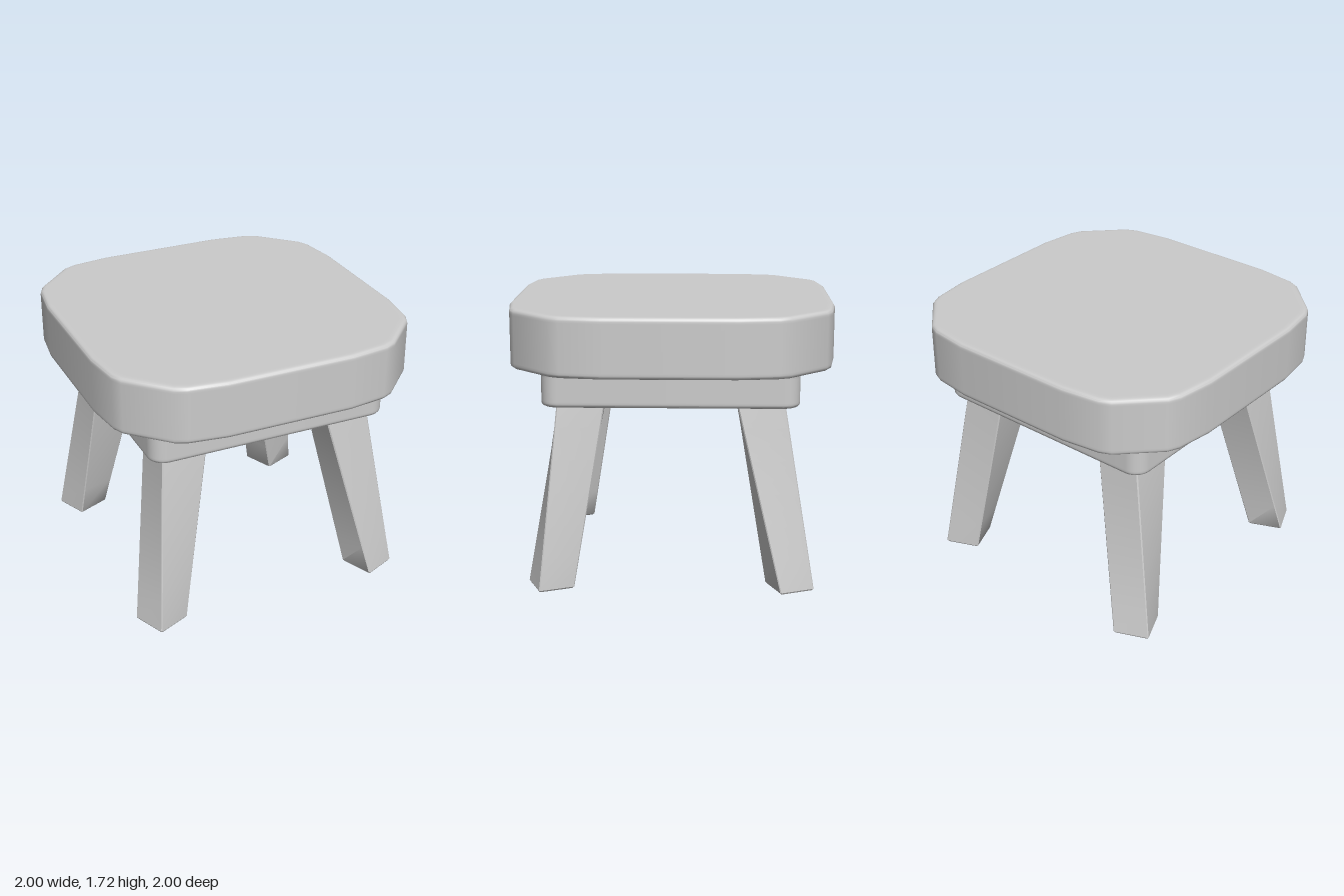
import * as THREE from 'three';
import { toCreasedNormals } from 'three/addons/utils/BufferGeometryUtils.js';

const material = new THREE.MeshStandardMaterial({ color: 0xcccccc });

// Closed solid through rings of [x, y, z] points, listed from bottom to top
function loft(rings, crease = 0.6) {
  const n = rings[0].length;
  const index = [];
  for (let r = 0; r < rings.length - 1; r++) {
    for (let i = 0; i < n; i++) {
      const j = (i + 1) % n;
      const a = r * n + i, b = r * n + j, c = a + n, d = b + n;
      index.push(a, c, b, b, c, d);
    }
  }
  const top = (rings.length - 1) * n;
  const low = rings.length * n, high = low + 1;
  for (let i = 0; i < n; i++) {
    const j = (i + 1) % n;
    index.push(low, i, j, high, top + j, top + i);
  }
  const centre = (ring) => [0, 1, 2].map((k) => ring.reduce((s, p) => s + p[k], 0) / n);
  const points = [...rings.flat(), centre(rings[0]), centre(rings[rings.length - 1])];
  const geometry = new THREE.BufferGeometry();
  geometry.setAttribute('position', new THREE.Float32BufferAttribute(points.flat(), 3));
  geometry.setIndex(index);
  return toCreasedNormals(geometry, crease);
}

// Repeat a quarter outline of [x, z] points around the centre
function fourfold(quarter) {
  const out = [];
  for (let k = 0; k < 4; k++) {
    for (const [x, z] of quarter) out.push([[x, z], [-z, x], [-x, -z], [z, -x]][k]);
  }
  return out;
}

// Stack one outline along a profile of [half width, y]
function slab(outline, size, profile) {
  return loft(profile.map(([w, y]) => outline.map(([x, z]) => [x * w / size, y, z * w / size])));
}

// Quarter-round edge from angle a to b (degrees) around [w, y]
function arc(w, y, r, a, b, steps = 4) {
  return Array.from({ length: steps + 1 }, (_, i) => {
    const t = THREE.MathUtils.degToRad(a + (b - a) * i / steps);
    return [w + r * Math.cos(t), y + r * Math.sin(t)];
  });
}

function named(geometry, name) {
  const mesh = new THREE.Mesh(geometry, material);
  mesh.name = name;
  return mesh;
}

export function createModel() {
  const group = new THREE.Group();
  group.name = 'stool';

  // Thick seat with gently bowed sides and cut corners
  const seatOutline = fourfold([[1, 0.4], [0.967, 0.64], [0.935, 0.71], [0.71, 0.935], [0.64, 0.967], [0.4, 1]]);
  group.add(named(slab(seatOutline, 1, [
    [0.96, 1.353], ...arc(0.976, 1.377, 0.024, -90, 0), [1, 1.39],
    [1, 1.68], ...arc(0.976, 1.692, 0.024, 0, 90), [0.96, 1.716],
  ]), 'seat'));

  // Apron under the seat: rounded square with a small flare where it meets the seat
  const apronOutline = fourfold([[0.78, 0], ...arc(0.68, 0.68, 0.1, 0, 90, 8)]);
  group.add(named(slab(apronOutline, 0.78, [
    [0.74, 1.133], ...arc(0.755, 1.158, 0.025, -90, 0), [0.78, 1.17],
    [0.78, 1.315], ...arc(0.805, 1.33, 0.025, 180, 90), [0.805, 1.36],
  ]), 'apron'));

  // Splayed, tapering leg that twists towards the foot
  const legRing = (y, inset = 0) => {
    const t = y / 1.133;
    const mid = THREE.MathUtils.lerp(0.738, 0.548, t);
    const h = 0.148 - inset;
    const side = THREE.MathUtils.lerp(0.06, 0.142, t) * h / 0.148;
    const corners = fourfold([[h, side]]);
    return corners.flatMap((c, i) => [corners[(i + 3) % 4], corners[(i + 1) % 4]].map((o) => [
      mid + c[0] + (o[0] - c[0]) * 0.025, y, mid + c[1] + (o[1] - c[1]) * 0.025,
    ]));
  };
  const legGeometry = loft([
    legRing(0, 0.01), legRing(0.01),
    ...[0.2, 0.4, 0.6, 0.8, 1, 1.2].map((y) => legRing(y)),
  ]);
  ['frontLeftLeg', 'backLeftLeg', 'backRightLeg', 'frontRightLeg'].forEach((name, i) => {
    const leg = named(legGeometry, name);
    leg.rotation.y = i * Math.PI / 2;
    group.add(leg);
  });

  return group;
}
